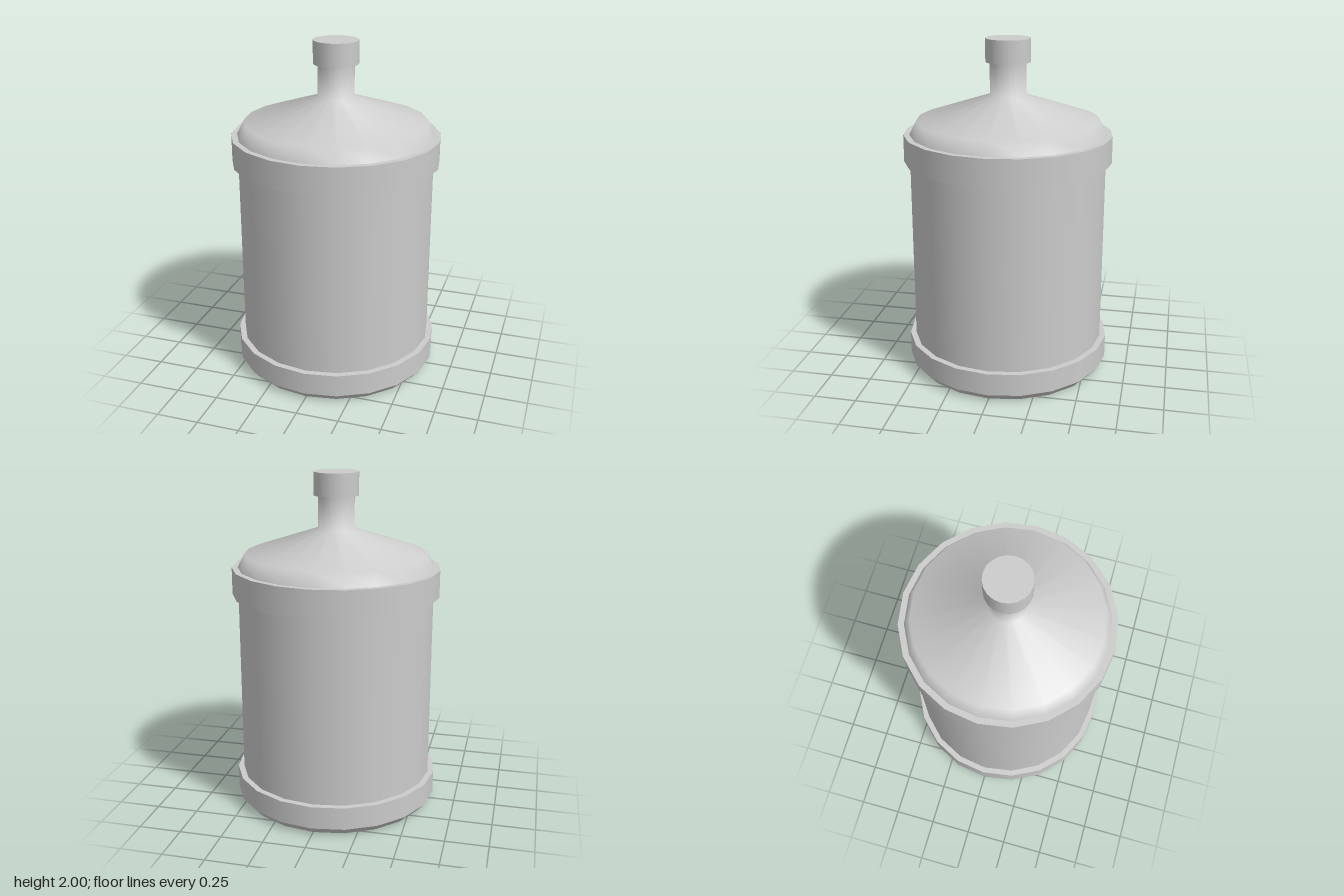
import * as THREE from 'three';
import { mergeGeometries } from 'three/addons/utils/BufferGeometryUtils.js';

const SIDES = 20;
const material = new THREE.MeshStandardMaterial({ color: 0xcccccc });

// Each run is a smooth stretch of [radius, height] points; edges between runs stay sharp.
function turned(name, runs) {
  const parts = runs.map((run) =>
    new THREE.LatheGeometry(run.map(([r, y]) => new THREE.Vector2(r, y)), SIDES));
  const mesh = new THREE.Mesh(mergeGeometries(parts), material);
  mesh.name = name;
  return mesh;
}

// Sharp-edged profile: every segment is its own run.
function sharp(name, points) {
  return turned(name, points.slice(1).map((p, i) => [points[i], p]));
}

export function createModel() {
  const group = new THREE.Group();
  group.name = 'waterBottle';
  const body = 0.58, band = 0.615, neck = 0.107, cap = 0.132;

  // Base with a bevelled foot
  group.add(sharp('baseBand',
    [[0, 0], [0.575, 0], [band, 0.045], [band, 0.18], [body, 0.18]]));

  // Straight wall
  group.add(sharp('body', [[body, 0.18], [body, 1.29]]));

  // Upper band
  group.add(sharp('upperBand',
    [[body, 1.29], [band, 1.29], [band, 1.45], [body, 1.45]]));

  // Shoulder flowing smoothly into the neck
  group.add(turned('shoulderAndNeck',
    [[[body, 1.45], [0.54, 1.53], [neck, 1.675], [neck, 1.865]]]));

  // Cap
  group.add(sharp('cap',
    [[neck, 1.865], [cap, 1.865], [cap, 2], [0, 2]]));

  return group;
}
